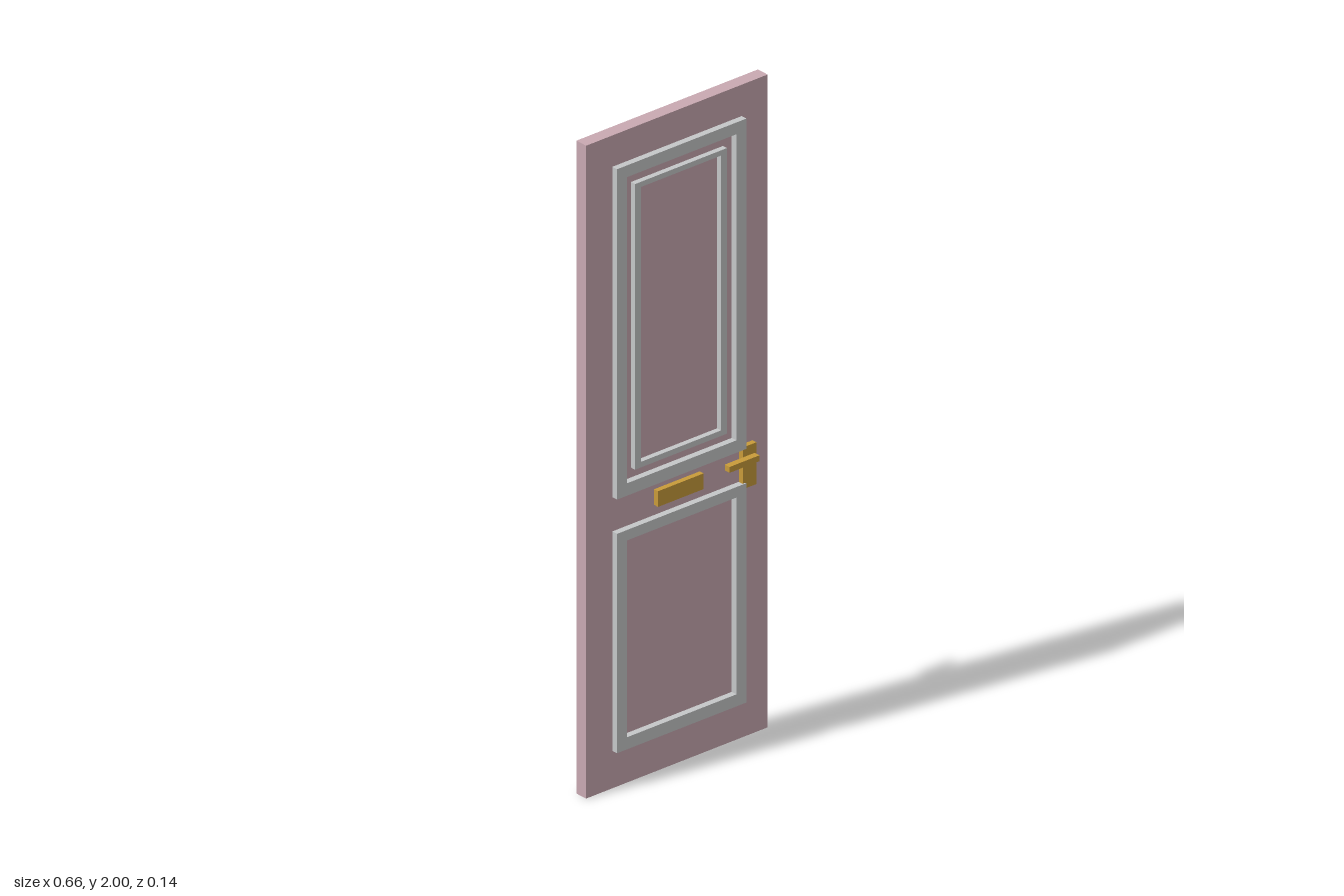
import * as THREE from 'three';

const paint = new THREE.MeshStandardMaterial({ color: 0xc9a9b2 });
paint.name = 'pink paint';
const trim = new THREE.MeshStandardMaterial({ color: 0xc5c7c8 });
trim.name = 'grey trim';
const brass = new THREE.MeshStandardMaterial({ color: 0xc89b3a });
brass.name = 'brass';

const FACE = 0.0205; // half the door thickness

// Box given by its limits on x and y, its middle in z and its thickness
function box(name, material, [x0, x1], [y0, y1], z, thickness) {
  const mesh = new THREE.Mesh(new THREE.BoxGeometry(x1 - x0, y1 - y0, thickness), material);
  mesh.position.set((x0 + x1) / 2, (y0 + y1) / 2, z);
  mesh.name = name;
  return mesh;
}

// Rectangular moulding centred on z; outer and inner are half width, bottom, top
function frame(name, outer, inner, z, thickness) {
  const trace = (path, [w, y0, y1]) =>
    path.moveTo(-w, y0).lineTo(w, y0).lineTo(w, y1).lineTo(-w, y1).closePath();
  const shape = trace(new THREE.Shape(), outer);
  shape.holes.push(trace(new THREE.Path(), inner));
  const mesh = new THREE.Mesh(
    new THREE.ExtrudeGeometry(shape, { depth: thickness, bevelEnabled: false }), trim);
  mesh.position.z = z - thickness / 2;
  mesh.name = name;
  return mesh;
}

// Mouldings and fittings of one side: 1 for the front, -1 for the back
function createSide(name, side) {
  const group = new THREE.Group();
  group.name = name;
  const onFace = (thickness) => [side * (FACE + thickness / 2), thickness];
  group.add(
    // Mouldings
    frame('upperPanelFrame', [0.235, 0.892, 1.904], [0.199, 0.93, 1.868], ...onFace(0.02)),
    frame('upperInnerFrame', [0.167, 0.96, 1.835], [0.146, 0.977, 1.819], ...onFace(0.017)),
    frame('lowerPanelFrame', [0.235, 0.115, 0.787], [0.199, 0.152, 0.755], ...onFace(0.02)),
    // Brass fittings; the lever stands clear of its plate
    box('letterPlate', brass, [-0.083, 0.083], [0.818, 0.866], ...onFace(0.0165)),
    box('handlePlate', brass, [0.225, 0.275], [0.77, 0.898], ...onFace(0.0165)),
    box('handleLever', brass, [0.146, 0.255], [0.86, 0.878], side * 0.0625, 0.02)
  );
  return group;
}

export function createModel() {
  const door = new THREE.Group();
  door.name = 'door';
  door.add(
    box('doorLeaf', paint, [-0.33, 0.33], [0, 2], 0, 2 * FACE),
    createSide('frontFittings', 1),
    createSide('backFittings', -1)
  );
  return door;
}
